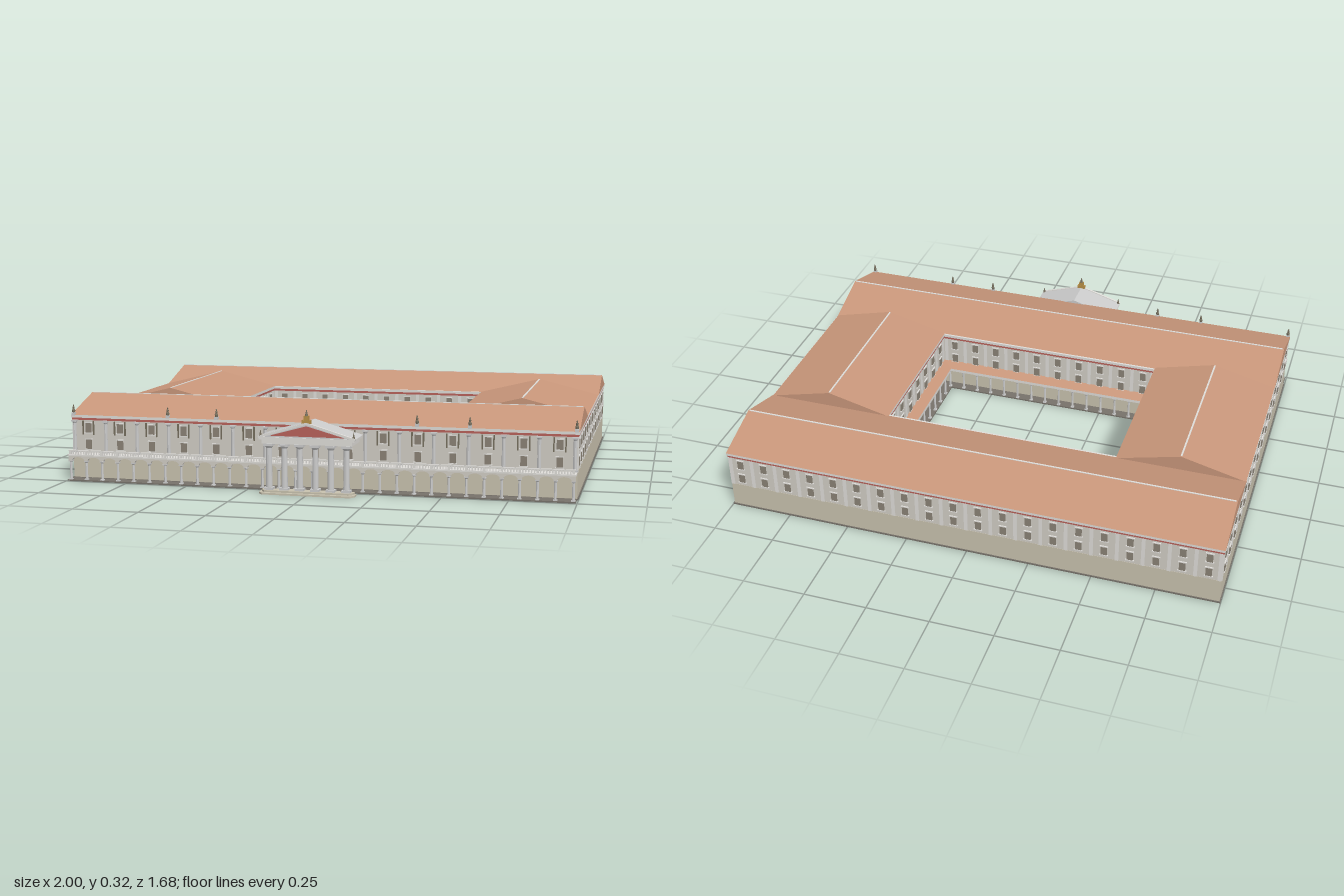
import * as THREE from 'three';
import { mergeGeometries } from 'three/addons/utils/BufferGeometryUtils.js';

const mat = (color) => new THREE.MeshStandardMaterial({ color, flatShading: true, side: THREE.DoubleSide });
const M = {
  roof: mat(0xc8967a), wall: mat(0xd0ccc4), base: mat(0xc8c1ae), trim: mat(0xdedcd8), grey: mat(0xcccccc),
  red: mat(0xb8625a), glass: mat(0x8a8275), slab: mat(0x77726a), gold: mat(0xb89048), dark: mat(0x77705f),
};

// Outer plan and courtyard plan as [xMin, xMax, zMin, zMax]
const OUT = [-0.995, 0.995, -0.835, 0.685];
const COURT = [-0.485, 0.485, -0.405, 0.255];
const HOLE = [-0.44, 0.44, -0.37, 0.215];
const grow = ([a, b, c, d], s) => [a - s, b + s, c - s, d + s];

const box = (w, h, d, x, y, z) => new THREE.BoxGeometry(w, h, d).translate(x, y + h / 2, z);

function column(r, h, x, y, z, sides = 10) {
  return mergeGeometries([
    box(r * 2.7, h * 0.05, r * 2.7, x, y, z),
    new THREE.CylinderGeometry(r * 0.85, r, h * 0.9, sides).translate(x, y + h * 0.5, z),
    new THREE.CylinderGeometry(r * 1.35, r * 0.85, h * 0.05, sides).translate(x, y + h * 0.925, z),
    box(r * 2.8, h * 0.05, r * 2.8, x, y + h * 0.95, z),
  ]);
}

export function createModel() {
  const model = new THREE.Group();
  const add = (name, material, geos, parent = model) => {
    const geo = Array.isArray(geos) ? mergeGeometries(geos) : geos;
    const mesh = new THREE.Mesh(geo, material);
    mesh.name = name;
    parent.add(mesh);
    return mesh;
  };

  // Rectangular storey with the courtyard cut out
  const ring = (name, material, o, i, y0, y1) => {
    const rect = (S, [a, b, c, d]) => {
      const s = new S();
      s.moveTo(a, -c); s.lineTo(b, -c); s.lineTo(b, -d); s.lineTo(a, -d); s.closePath();
      return s;
    };
    const s = rect(THREE.Shape, o);
    s.holes.push(rect(THREE.Path, i));
    add(name, material, new THREE.ExtrudeGeometry(s, { depth: y1 - y0, bevelEnabled: false })
      .rotateX(-Math.PI / 2).translate(0, y0, 0));
  };
  ring('groundSlab', M.slab, grow(OUT, 0.004), HOLE, 0, 0.006);
  ring('groundFloor', M.base, OUT, COURT, 0.006, 0.105);
  ring('upperFloors', M.wall, grow(OUT, -0.001), grow(COURT, 0.001), 0.105, 0.236);
  ring('redCornice', M.red, grow(OUT, 0.002), grow(COURT, -0.002), 0.236, 0.245);
  ring('eavesCornice', M.trim, grow(OUT, 0.005), grow(COURT, -0.004), 0.245, 0.256);

  // Gable roofs: triangular section swept along z, then turned for front and back wings
  const gable = (half, rise, length) => {
    const s = new THREE.Shape();
    s.moveTo(-half, 0); s.lineTo(half, 0); s.lineTo(0, rise); s.closePath();
    return new THREE.ExtrudeGeometry(s, { depth: length, bevelEnabled: false }).translate(0, 0, -length / 2);
  };
  for (const [name, z] of [['frontRoof', 0.475], ['backRoof', -0.625]]) {
    add(name, M.roof, gable(0.216, 0.065, 2).rotateY(Math.PI / 2).translate(0, 0.256, z));
    add(name + 'Ridge', M.trim, box(1.99, 0.003, 0.007, 0, 0.319, z));
  }
  for (const s of [-1, 1]) {
    add('sideRoof', M.roof, gable(0.259, 0.064, 0.68).translate(s * 0.74, 0.256, -0.075));
    add('sideRoofRidge', M.trim, box(0.007, 0.003, 0.67, s * 0.74, 0.318, -0.075));
  }

  // Walls with two rows of windows and pilasters; local z points out of the wall
  const facade = (name, width, n, x, z, turn, pilaster = true) => {
    const g = new THREE.Group();
    g.name = name;
    g.position.set(x, 0, z);
    g.rotation.y = turn;
    model.add(g);
    const step = width / n, panes = [], frames = [], strips = [];
    for (let i = 0; i < n; i++) {
      const u = (i + 0.5) * step - width / 2;
      for (const y of [0.121, 0.187]) {
        panes.push(box(0.024, 0.037, 0.006, u, y, 0));
        frames.push(box(0.034, 0.004, 0.009, u, y - 0.004, 0), box(0.032, 0.004, 0.008, u, y + 0.037, 0));
      }
    }
    for (let i = 0; i <= n; i++) {
      const u = Math.max(-width / 2 + 0.008, Math.min(width / 2 - 0.008, i * step - width / 2));
      strips.push(box(0.014, 0.131, 0.005, u, 0.105, 0));
    }
    add('windows', M.glass, panes, g);
    add('windowSurrounds', M.trim, frames, g);
    if (pilaster) add('pilasters', M.trim, strips, g);
  };
  const Q = Math.PI / 2;
  facade('frontFacade', 1.99, 30 / 2, 0, 0.685, 0, false);
  facade('backFacade', 1.99, 20, 0, -0.835, Math.PI);
  facade('leftFacade', 1.52, 15, 0.995, -0.075, Q);
  facade('rightFacade', 1.52, 15, -0.995, -0.075, -Q);
  facade('courtNorth', 0.96, 10, 0, -0.405, 0);
  facade('courtSouth', 0.96, 10, 0, 0.255, Math.PI);
  facade('courtWest', 0.65, 7, -0.485, -0.075, Q);
  facade('courtEast', 0.65, 7, 0.485, -0.075, -Q);

  // Courtyard cloister: lean-to roof ring on columns
  const corners = ([a, b, c, d], y) => [[a, y, c], [b, y, c], [b, y, d], [a, y, d]];
  const hi = corners(COURT, 0.122), lo = corners(HOLE, 0.104);
  const tris = [];
  for (let i = 0; i < 4; i++) {
    const j = (i + 1) % 4;
    tris.push(...hi[i], ...lo[j], ...hi[j], ...hi[i], ...lo[i], ...lo[j]);
  }
  const lean = new THREE.BufferGeometry();
  lean.setAttribute('position', new THREE.Float32BufferAttribute(tris, 3));
  lean.computeVertexNormals();
  add('cloisterRoof', M.roof, lean);
  ring('cloisterBeam', M.trim, grow(HOLE, 0.014), HOLE, 0.092, 0.104);
  const cloister = [];
  for (let i = 0; i <= 14; i++)
    for (const z of [-0.377, 0.222]) cloister.push(column(0.005, 0.086, -0.447 + i * 0.894 / 14, 0.006, z, 8));
  for (let i = 1; i < 9; i++)
    for (const x of [-0.447, 0.447]) cloister.push(column(0.005, 0.086, x, 0.006, -0.377 + i * 0.599 / 9, 8));
  add('cloisterColumns', M.grey, cloister);

  // Front arcade: 30 bays carrying a terrace with a balustrade
  const bays = 30, pitch = 1.97 / bays;
  const arch = new THREE.Shape();
  arch.moveTo(-0.993, 0.1);
  arch.lineTo(-0.993, 0.08);
  for (let i = 0; i < bays; i++) {
    const c = -0.985 + (i + 0.5) * pitch;
    arch.lineTo(c - 0.026, 0.08);
    arch.absellipse(c, 0.08, 0.026, 0.015, Math.PI, 0, true);
  }
  arch.lineTo(0.993, 0.08);
  arch.lineTo(0.993, 0.1);
  add('arcadeArches', M.wall, new THREE.ExtrudeGeometry(arch, { depth: 0.012, bevelEnabled: false, curveSegments: 6 })
    .translate(0, 0, 0.728));
  const piers = [], balusters = [], engaged = [];
  for (let i = 0; i <= bays; i++) {
    const x = -0.985 + i * pitch;
    piers.push(column(0.0055, 0.076, x, 0.005, 0.734, 8));
    balusters.push(box(0.009, 0.018, 0.009, x, 0.105, 0.737));
    if (i < bays) for (let k = 1; k < 6; k++)
      balusters.push(box(0.004, 0.014, 0.004, x + k * pitch / 6, 0.105, 0.737));
    if (i % 2 === 0) engaged.push(column(0.0075, 0.129, x, 0.107, 0.69, 8));
  }
  add('arcadeColumns', M.grey, piers);
  add('balusters', M.trim, balusters);
  add('engagedColumns', M.grey, engaged);
  add('terrace', M.trim, [box(1.99, 0.006, 0.062, 0, 0.1, 0.713), box(1.985, 0.004, 0.009, 0, 0.119, 0.737)]);
  add('terraceFloor', M.slab, box(1.99, 0.005, 0.06, 0, 0, 0.715));

  // Wall lanterns on slim brackets between the upper front windows
  const lamps = [];
  for (let i = 0; i < 15; i++) for (const s of [-1, 1])
    lamps.push(box(0.005, 0.055, 0.005, -0.995 + (i + 0.5) * 1.99 / 15 + s * 0.022, 0.178, 0.688));
  add('frontWindowPosts', M.dark, lamps);

  // Eaves statues
  for (const x of [-0.99, -0.595, -0.395, 0.395, 0.595, 0.99]) {
    const g = new THREE.Group();
    g.name = 'eavesStatue';
    g.position.set(x, 0.254, 0.686);
    model.add(g);
    add('pedestal', M.grey, box(0.014, 0.012, 0.014, 0, 0, 0), g);
    const pts = [[0.006, 0.012], [0.007, 0.02], [0.004, 0.026], [0.005, 0.032], [0.002, 0.036], [0.003, 0.04], [0, 0.044]];
    add('figure', M.dark, new THREE.LatheGeometry(pts.map((p) => new THREE.Vector2(...p)), 8), g);
  }

  // Portico: chamfered steps, six columns, entablature, pediment and roof
  const portico = new THREE.Group();
  portico.name = 'portico';
  model.add(portico);
  const stepGeo = (w, z0, z1, y, h) => {
    const s = new THREE.Shape();
    s.moveTo(-w, -z0); s.lineTo(-w, -z1 + 0.02); s.lineTo(-w + 0.015, -z1);
    s.lineTo(w - 0.015, -z1); s.lineTo(w, -z1 + 0.02); s.lineTo(w, -z0); s.closePath();
    return new THREE.ExtrudeGeometry(s, { depth: h, bevelEnabled: false }).rotateX(-Q).translate(0, y, 0);
  };
  add('steps', M.base, [stepGeo(0.185, 0.782, 0.84, 0, 0.007), stepGeo(0.178, 0.782, 0.826, 0.007, 0.007)], portico);
  const cols = [];
  for (let i = 0; i < 6; i++) cols.push(column(0.0125, 0.176, -0.15 + i * 0.06, 0.014, 0.8, 16));
  add('porticoColumns', M.grey, cols, portico);
  add('entablature', M.trim, [
    box(0.35, 0.016, 0.12, 0, 0.19, 0.753), box(0.37, 0.01, 0.13, 0, 0.206, 0.753),
  ], portico);
  add('porticoRoof', M.grey, gable(0.187, 0.056, 0.13).translate(0, 0.216, 0.75), portico);
  add('tympanum', M.red, gable(0.145, 0.04, 0.004).translate(0, 0.221, 0.8155), portico);
  const slope = Math.atan2(0.056, 0.187), rake = Math.hypot(0.056, 0.187);
  for (const s of [-1, 1])
    add('rakingCornice', M.trim, new THREE.BoxGeometry(rake, 0.008, 0.01).rotateZ(-s * slope)
      .translate(s * 0.0935, 0.243, 0.816), portico);
  // Gilded ornament at the apex and small ones on the corners
  add('apexPedestal', M.gold, [box(0.034, 0.014, 0.014, 0, 0.27, 0.812), box(0.02, 0.016, 0.012, 0, 0.284, 0.812)], portico);
  add('apexFinial', M.dark, new THREE.ConeGeometry(0.007, 0.026, 8).translate(0, 0.312, 0.812), portico);
  for (const s of [-1, 1])
    add('cornerFinial', M.dark, new THREE.ConeGeometry(0.006, 0.026, 8).translate(s * 0.18, 0.23, 0.81), portico);
  return model;
}
